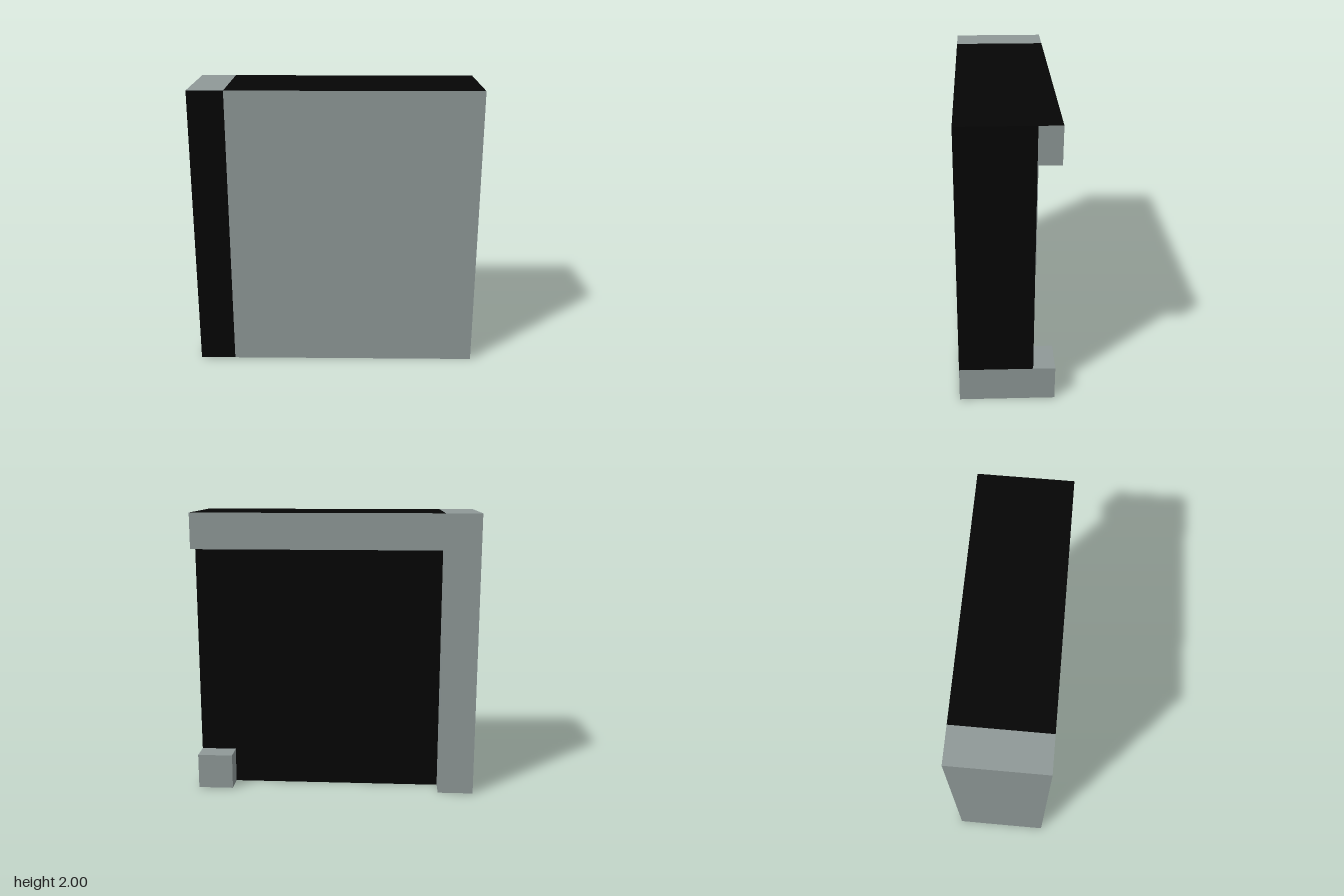
import * as THREE from 'three';

const grey = new THREE.MeshStandardMaterial({ color: 0x8f9998 });
const black = new THREE.MeshStandardMaterial({ color: 0x050505 });

// Box from its min and max corners; the named sides are black, the rest grey
const SIDES = ['+x', '-x', '+y', '-y', '+z', '-z'];
function block(name, min, max, blackSides = []) {
  const size = max.map((v, i) => v - min[i]);
  const materials = SIDES.map((s) => (blackSides.includes(s) ? black : grey));
  const mesh = new THREE.Mesh(new THREE.BoxGeometry(...size), materials);
  mesh.position.set(...max.map((v, i) => (v + min[i]) / 2));
  mesh.name = name;
  return mesh;
}

export function createModel() {
  const group = new THREE.Group();
  group.name = 'framedPanel';

  const D = 0.325;      // half depth
  const BACK = -0.175;  // recessed rear face of the slab
  const T = 0.25;       // frame bar width
  const INNER = -1 + T; // inner side of the column

  group.add(
    // full-depth upright on the right edge
    block('column', [-1, 0, -D], [INNER, 2, D], ['+z']),
    // thick panel, with a grey band along its base
    block('panel', [INNER, T, BACK], [1, 2, D], ['+x', '+y', '-z']),
    block('panelBase', [INNER, 0, BACK], [1, T, D], ['-z']),
    // rear frame: top beam and corner foot
    block('topBeam', [INNER, 2 - T, -D], [1, 2, BACK], ['+y']),
    block('cornerFoot', [1 - T, 0, -D], [1, T, BACK]),
  );
  return group;
}
